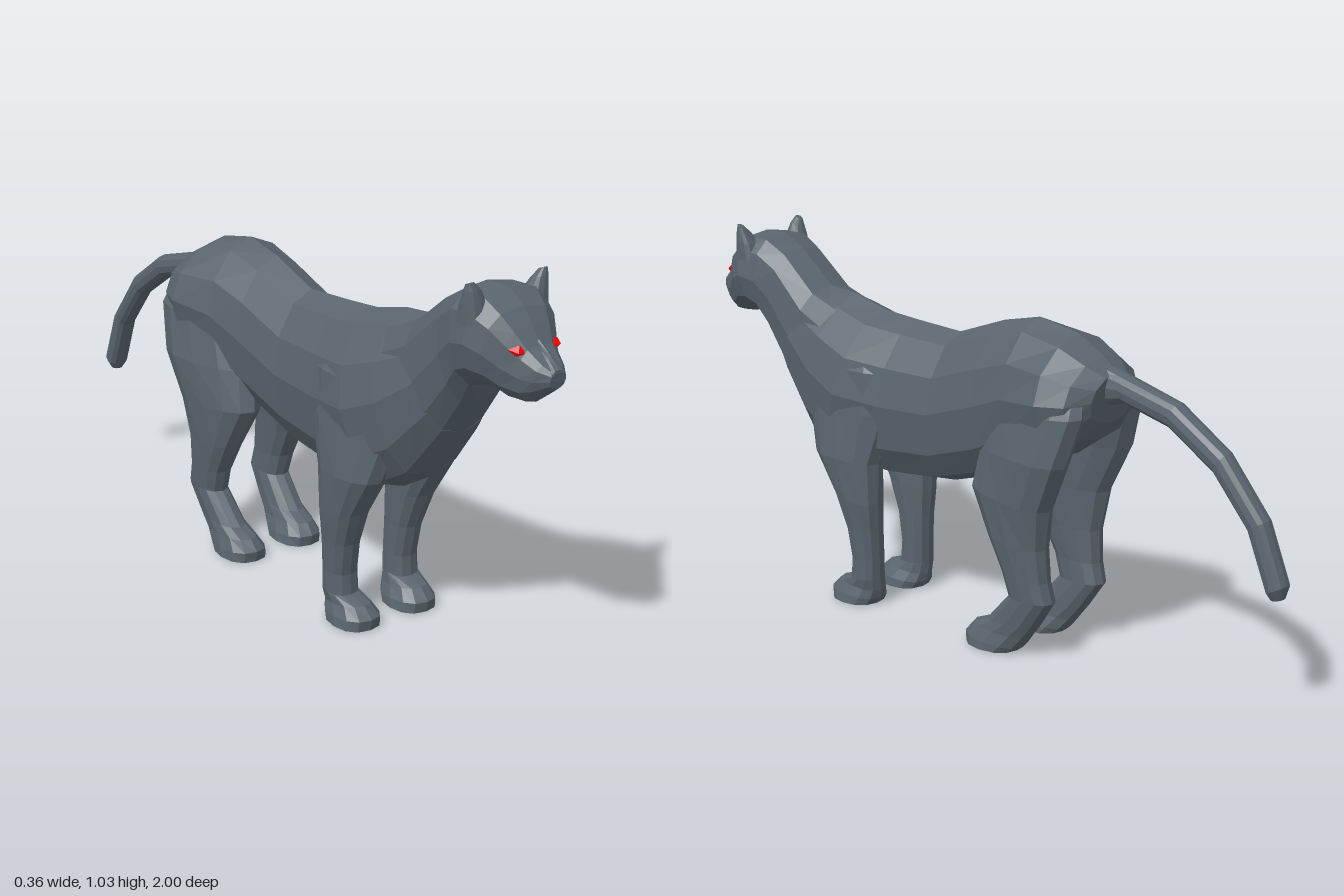
import * as THREE from 'three';

const coat = new THREE.MeshStandardMaterial({ color: 0x59646d, flatShading: true });
const red = new THREE.MeshStandardMaterial({ color: 0xff0000, flatShading: true });
const SIDES = 12;

// Skin over rings. Each ring: [zA, yA, zB, yB, halfWidth, xA, xB], where A and B are
// the top and bottom (or front and back) points of its middle line.
// powerA and powerB set how square (low) or pointed (high) the two halves are.
function loft(name, rings, { side = 1, powerA = 0.85, powerB = 0.85 } = {}) {
  const pos = [], index = [];
  const bend = (v, power) => Math.sign(v) * Math.pow(Math.abs(v), power);
  for (const [zA, yA, zB, yB, w, xA = 0, xB = xA] of rings) {
    for (let i = 0; i < SIDES; i++) {
      const a = (i / SIDES) * Math.PI * 2;
      const power = Math.cos(a) > 0 ? powerA : powerB;
      const t = (1 - bend(Math.cos(a), power)) / 2;
      const x = side * (xA + (xB - xA) * t) + w * bend(Math.sin(a), power);
      pos.push(x, yA + (yB - yA) * t, zA + (zB - zA) * t);
    }
  }
  const last = rings.length - 1;
  for (let j = 0; j < last; j++) {
    for (let i = 0; i < SIDES; i++) {
      const n = (i + 1) % SIDES;
      const a = j * SIDES + i, b = j * SIDES + n, c = a + SIDES, d = b + SIDES;
      index.push(a, b, c, b, d, c);
    }
  }
  // end caps
  for (let i = 1; i < SIDES - 1; i++) {
    const e = last * SIDES;
    index.push(0, i + 1, i, e, e + i, e + i + 1);
  }
  const geo = new THREE.BufferGeometry();
  geo.setAttribute('position', new THREE.Float32BufferAttribute(pos, 3));
  geo.setIndex(index);
  const flat = geo.toNonIndexed();
  flat.computeVertexNormals();
  const mesh = new THREE.Mesh(flat, coat);
  mesh.name = name;
  return mesh;
}

// muzzle, face, skull and neck, running front to back
const headRings = [
  [1.0, 0.843, 0.995, 0.802, 0.024],
  [0.975, 0.862, 0.955, 0.772, 0.047],
  [0.935, 0.892, 0.93, 0.752, 0.063],
  [0.907, 0.93, 0.885, 0.753, 0.088],
  [0.875, 0.968, 0.85, 0.768, 0.112],
  [0.83, 1.0, 0.80, 0.768, 0.13],
  [0.75, 1.0, 0.77, 0.745, 0.122],
  [0.68, 0.965, 0.74, 0.69, 0.112],
  [0.56, 0.87, 0.66, 0.57, 0.118],
  [0.46, 0.84, 0.57, 0.47, 0.12],
];

// shoulders, chest, belly and rump
const trunkRings = [
  [0.60, 0.89, 0.68, 0.60, 0.112],
  [0.56, 0.87, 0.66, 0.57, 0.122],
  [0.46, 0.86, 0.57, 0.45, 0.145],
  [0.34, 0.83, 0.46, 0.385, 0.162],
  [0.22, 0.82, 0.27, 0.37, 0.14],
  [0.06, 0.81, 0.08, 0.39, 0.13],
  [-0.10, 0.865, -0.09, 0.44, 0.135],
  [-0.22, 0.89, -0.20, 0.50, 0.15],
  [-0.35, 0.865, -0.35, 0.55, 0.177],
  [-0.43, 0.82, -0.42, 0.60, 0.15],
  [-0.475, 0.785, -0.455, 0.65, 0.09],
];

const tailRings = [
  [-0.42, 0.81, -0.44, 0.69, 0.045],
  [-0.49, 0.787, -0.51, 0.712, 0.038],
  [-0.67, 0.738, -0.65, 0.675, 0.034],
  [-0.82, 0.64, -0.785, 0.588, 0.032],
  [-0.94, 0.495, -0.89, 0.465, 0.032],
  [-1.0, 0.345, -0.95, 0.32, 0.033],
  [-0.993, 0.31, -0.96, 0.303, 0.018],
];

// legs run from the sole up to the shoulder or hip
const frontLegRings = [
  [0.45, 0, 0.30, 0, 0.064, 0.093],
  [0.455, 0.03, 0.285, 0.02, 0.06, 0.093],
  [0.425, 0.06, 0.28, 0.045, 0.047, 0.095],
  [0.375, 0.075, 0.28, 0.08, 0.044, 0.10],
  [0.37, 0.13, 0.28, 0.14, 0.043, 0.10],
  [0.385, 0.22, 0.28, 0.22, 0.046, 0.103],
  [0.425, 0.32, 0.275, 0.30, 0.053, 0.108],
  [0.50, 0.43, 0.27, 0.42, 0.057, 0.11],
  [0.55, 0.57, 0.22, 0.56, 0.062, 0.085, 0.095],
  [0.52, 0.68, 0.23, 0.68, 0.058, 0.08, 0.09],
  [0.45, 0.75, 0.28, 0.74, 0.03, 0.07, 0.08],
];

const hindLegRings = [
  [-0.07, 0, -0.23, 0, 0.064, 0.094],
  [-0.065, 0.03, -0.25, 0.015, 0.06, 0.095],
  [-0.09, 0.06, -0.28, 0.05, 0.048, 0.098],
  [-0.14, 0.08, -0.31, 0.09, 0.044, 0.10],
  [-0.22, 0.165, -0.36, 0.165, 0.041, 0.105],
  [-0.20, 0.23, -0.345, 0.22, 0.043, 0.108],
  [-0.15, 0.32, -0.34, 0.31, 0.05, 0.105, 0.112],
  [-0.08, 0.44, -0.36, 0.42, 0.06, 0.09, 0.122],
  [-0.10, 0.55, -0.42, 0.55, 0.065, 0.075, 0.135],
  [-0.14, 0.66, -0.46, 0.68, 0.06, 0.07, 0.12],
  [-0.22, 0.76, -0.44, 0.76, 0.035, 0.07, 0.09],
];

const earRings = [
  [0.845, 0.93, 0.765, 0.93, 0.035, 0.092],
  [0.838, 0.98, 0.78, 0.975, 0.03, 0.096],
  [0.832, 1.01, 0.795, 1.003, 0.021, 0.103],
  [0.825, 1.03, 0.805, 1.022, 0.009, 0.112],
];

export function createModel() {
  const model = new THREE.Group();
  model.name = 'bigCat';

  model.add(loft('headAndNeck', headRings, { powerA: 0.72, powerB: 0.9 }));
  model.add(loft('trunk', trunkRings, { powerA: 1.1, powerB: 0.85 }));
  model.add(loft('tail', tailRings));

  for (const side of [1, -1]) {
    const tag = side > 0 ? 'left' : 'right';
    model.add(loft(tag + 'FrontLeg', frontLegRings, { side }));
    model.add(loft(tag + 'HindLeg', hindLegRings, { side }));
    model.add(loft(tag + 'Ear', earRings, { side }));

    // slanted eye
    const eye = new THREE.Mesh(new THREE.OctahedronGeometry(0.023), red);
    eye.name = tag + 'Eye';
    eye.scale.set(1, 0.7, 0.6);
    eye.position.set(side * 0.057, 0.881, 0.923);
    eye.rotation.set(0, side * 0.55, side * 0.25);
    model.add(eye);
  }

  // wedge of the nose, narrowing up between the eyes
  model.add(loft('nose', [
    [0.999, 0.848, 0.998, 0.82, 0.022],
    [0.97, 0.874, 0.96, 0.83, 0.016],
    [0.93, 0.902, 0.92, 0.86, 0.008],
  ], { powerA: 1, powerB: 1 }));
  return model;
}
